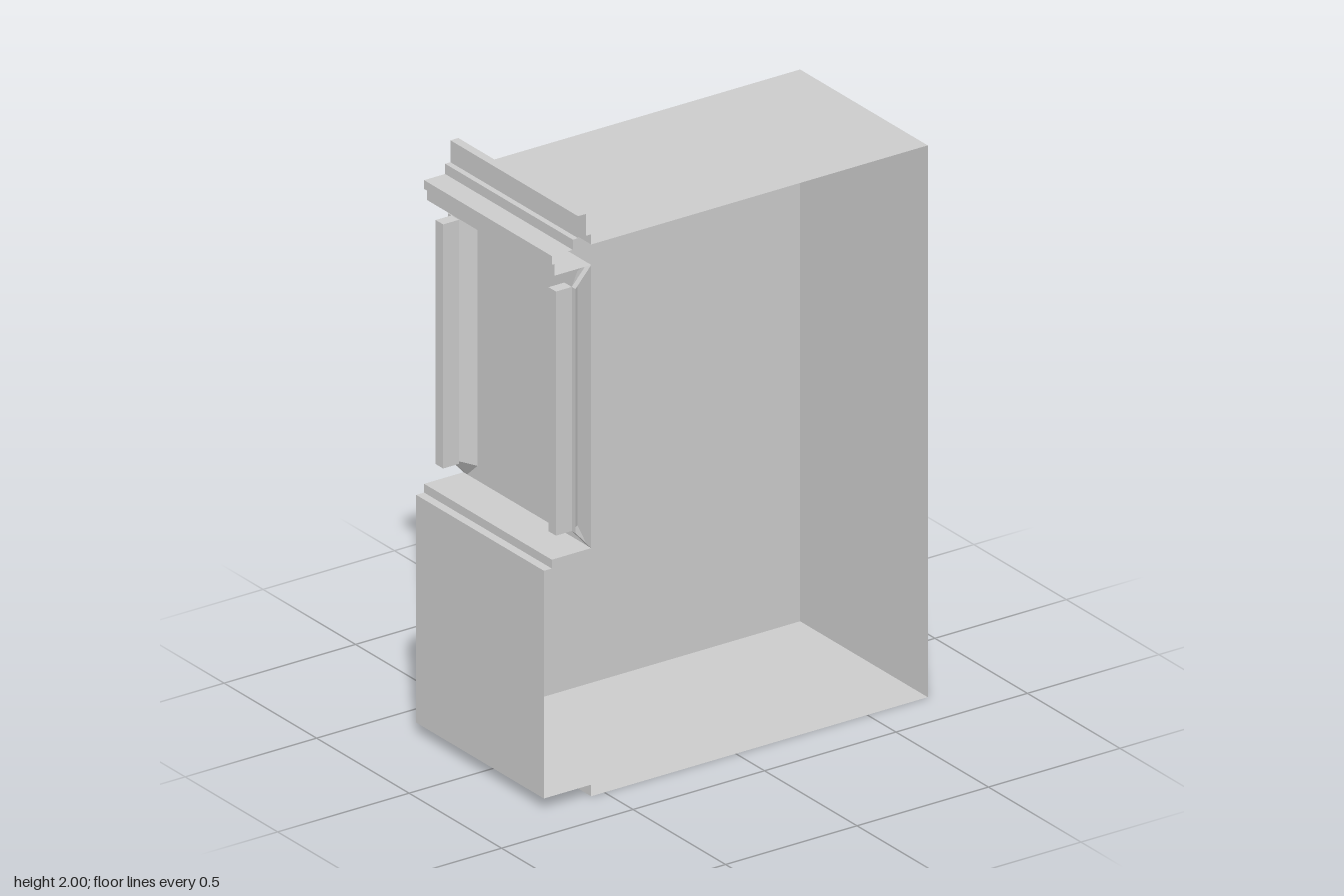
import * as THREE from 'three';

const material = new THREE.MeshStandardMaterial({
  color: 0xcccccc, flatShading: true, side: THREE.DoubleSide,
});
const HALF = 0.345; // half width of the bay

// Side outline as [z, y]
const lowerFront = [[0.55, 0], [0.55, 0.04], [0.73, 0.04], [0.73, 0.82], [0.7, 0.82], [0.7, 0.85], [0.55, 0.85]];
const cornice = [
  [0.55, 1.82], [0.69, 1.82], [0.69, 1.86], [0.7, 1.86], [0.7, 1.89], [0.62, 1.89], [0.62, 1.925],
  [0.6, 1.925], [0.6, 2], [0.57, 2], [0.57, 1.925], [0.55, 1.925], [0.55, 1.89],
];
const pilasterEdge = [[0.61, 0.915], [0.61, 1.75]];

function addMesh(parent, name, geometry) {
  const mesh = new THREE.Mesh(geometry, material);
  mesh.name = name;
  parent.add(mesh);
  return mesh;
}

// Fan-triangulated flat polygons
function polygons(list) {
  const pos = [];
  for (const p of list) {
    for (let i = 1; i < p.length - 1; i++) pos.push(...p[0], ...p[i], ...p[i + 1]);
  }
  const g = new THREE.BufferGeometry();
  g.setAttribute('position', new THREE.Float32BufferAttribute(pos, 3));
  g.computeVertexNormals();
  return g;
}

// Sheet that sweeps a [z, y] path across the full width
function sheet(path) {
  const quads = [];
  for (let i = 0; i < path.length - 1; i++) {
    const [z0, y0] = path[i], [z1, y1] = path[i + 1];
    quads.push([[-HALF, y0, z0], [HALF, y0, z0], [HALF, y1, z1], [-HALF, y1, z1]]);
  }
  return polygons(quads);
}

// Bevelled half pilaster with a raised strip
function makePilaster(name) {
  const group = new THREE.Group();
  group.name = name;
  const mid = 1.335;
  const faces = [];
  const corners = (s) => ({
    a: [HALF, mid + s * 0.485, 0.55], p: [0.325, mid + s * 0.485, 0.55],
    c: [0.27, mid + s * 0.435, 0.55], f: [0.325, mid + s * 0.418, 0.61],
    e: [HALF, mid + s * 0.418, 0.61],
  });
  const t = corners(1), b = corners(-1);
  faces.push([t.a, t.p, t.f, t.e], [t.p, t.c, t.f]);
  faces.push([b.e, b.f, b.p, b.a], [b.f, b.c, b.p]);
  faces.push([t.f, t.c, b.c, b.f], [t.e, t.f, b.f, b.e]);
  addMesh(group, 'pilasterBase', polygons(faces));
  addMesh(group, 'pilasterStrip', new THREE.BoxGeometry(0.04, 0.836, 0.06)).position.set(0.305, mid, 0.64);
  return group;
}

export function createModel() {
  const model = new THREE.Group();
  model.name = 'buildingBay';

  addMesh(model, 'lowerFront', sheet(lowerFront));
  addMesh(model, 'upperPanel', sheet([[0.55, 0.85], [0.55, 1.82]]));
  addMesh(model, 'cornice', sheet(cornice));
  addMesh(model, 'roof', sheet([[0.55, 1.89], [-0.73, 1.89]]));
  addMesh(model, 'backWall', sheet([[-0.73, 1.89], [-0.73, 0]]));
  addMesh(model, 'floor', sheet([[-0.73, 0], [0.55, 0]]));

  // Closed right wall; the left side stays open
  const outline = [...lowerFront, ...pilasterEdge, ...cornice, [-0.73, 1.89], [-0.73, 0]];
  const wall = new THREE.ShapeGeometry(new THREE.Shape(outline.map(([z, y]) => new THREE.Vector2(z, y))));
  wall.rotateY(-Math.PI / 2).translate(-HALF, 0, 0);
  addMesh(model, 'sideWall', wall);

  // Mirrored pilasters at both edges of the upper panel
  model.add(makePilaster('leftPilaster'));
  const right = makePilaster('rightPilaster');
  right.scale.x = -1;
  model.add(right);

  return model;
}
